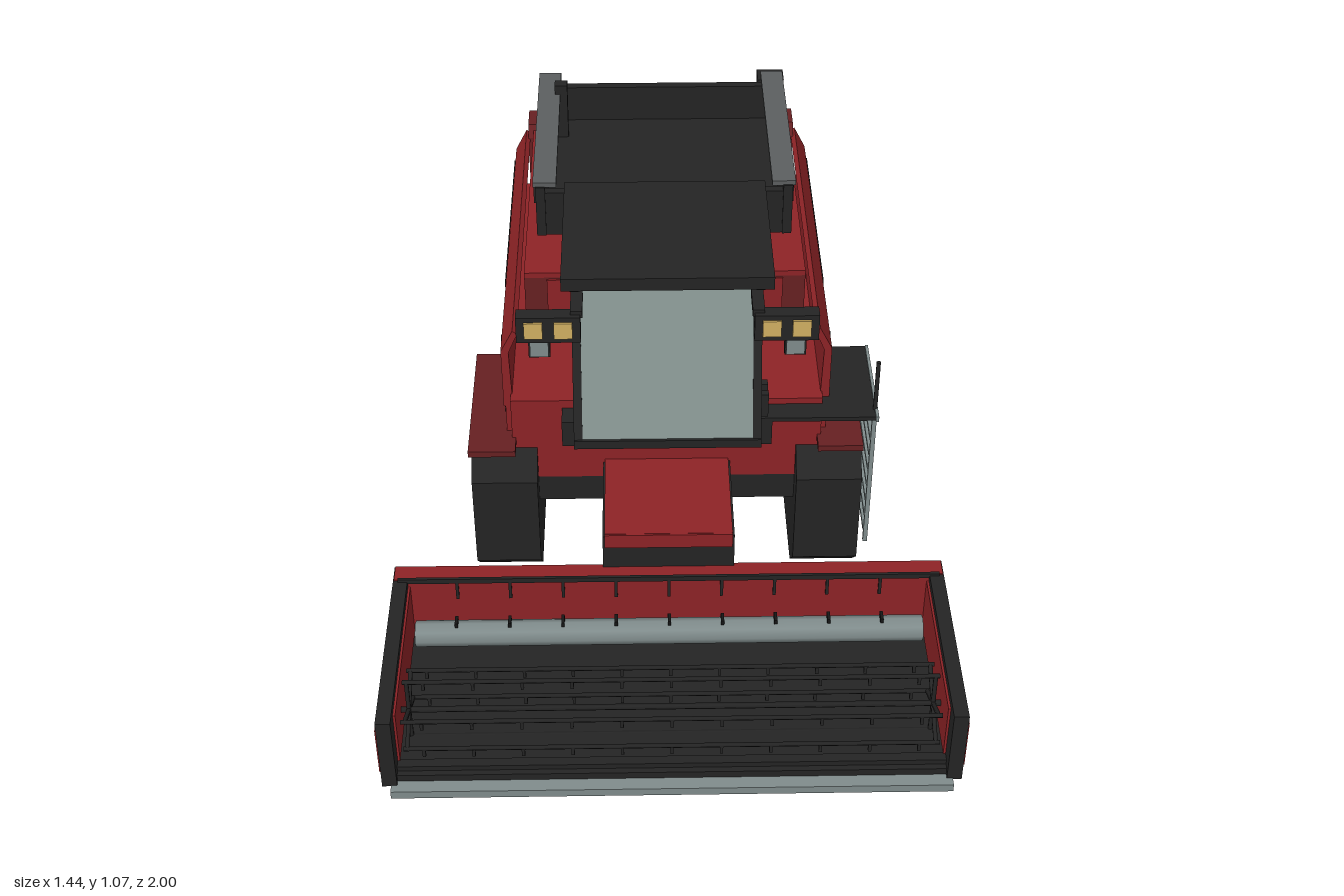
import * as THREE from 'three';

const mat = (name, color) => Object.assign(new THREE.MeshStandardMaterial({ color }), { name });

export function createModel() {
  const root = new THREE.Group();
  root.name = 'combineHarvester';
  const red = mat('red paint', 0x8e2326);
  const darkRed = mat('dark red paint', 0x672022);
  const black = mat('black', 0x242424);
  const line = mat('seam black', 0x151515);
  const glass = mat('glass', 0x84928f);
  const metal = mat('light metal', 0x808c8c);
  const grey = mat('grey rim', 0x5c5f60);
  const lamp = mat('lamp yellow', 0xd2b062);

  let group = root;
  const part = (name) => {
    group = new THREE.Group();
    group.name = name;
    root.add(group);
  };
  const add = (name, geo, m) => {
    const mesh = new THREE.Mesh(geo, m);
    mesh.name = name;
    group.add(mesh);
    return mesh;
  };
  // box given by its limits on each axis
  const box = (name, m, x0, x1, y0, y1, z0, z1) => {
    const g = new THREE.BoxGeometry(x1 - x0, y1 - y0, z1 - z0);
    g.translate((x0 + x1) / 2, (y0 + y1) / 2, (z0 + z1) / 2);
    return add(name, g, m);
  };
  const pair = (name, m, x0, x1, ...r) => {
    box(name + 'Left', m, x0, x1, ...r);
    box(name + 'Right', m, -x1, -x0, ...r);
  };
  // side profile of [z, y] points, swept across x
  const sweepX = (name, m, pts, x0, x1) => {
    const s = new THREE.Shape(pts.map((p) => new THREE.Vector2(...p)));
    const g = new THREE.ExtrudeGeometry(s, { depth: x1 - x0, bevelEnabled: false });
    g.rotateY(-Math.PI / 2).translate(x1, 0, 0);
    return add(name, g, m);
  };
  const rod = (name, m, a, b, r = 0.006, sides = 6) => {
    const p = new THREE.Vector3(...a), q = new THREE.Vector3(...b);
    const d = q.clone().sub(p);
    const mesh = add(name, new THREE.CylinderGeometry(r, r, d.length(), sides), m);
    mesh.position.copy(p).add(q).multiplyScalar(0.5);
    mesh.quaternion.setFromUnitVectors(new THREE.Vector3(0, 1, 0), d.normalize());
  };

  // chassis and lower body
  part('body');
  box('chassis', black, -0.4, 0.4, 0.225, 0.33, -0.95, 0.1);
  box('lowerBody', red, -0.41, 0.41, 0.32, 0.58, -0.93, 0.14);
  box('upperBody', darkRed, -0.375, 0.375, 0.57, 0.785, -0.92, -0.13);
  box('upperBodyTop', red, -0.375, 0.375, 0.785, 0.80, -0.9, -0.13);
  pair('upperFrontPanel', red, 0.24, 0.315, 0.66, 0.78, -0.131, -0.125);
  box('engineDeck', red, -0.36, 0.36, 0.8, 0.835, -0.92, -0.5);
  for (const s of [1, -1]) {
    // side panel with inward-leaning top edge
    const pts = [[0.405, 0.54], [0.43, 0.54], [0.43, 0.72], [0.397, 0.785], [0.385, 0.775], [0.41, 0.715]];
    const shape = new THREE.Shape(pts.map(([x, y]) => new THREE.Vector2(s * x, y)));
    const g = new THREE.ExtrudeGeometry(shape, { depth: 1.01, bevelEnabled: false });
    g.translate(0, 0, -0.9);
    add('sidePanel', g, red);
  }
  pair('lowerSide', red, 0.405, 0.425, 0.325, 0.55, -0.93, 0.11);
  pair('sideStripe', black, 0.425, 0.431, 0.378, 0.396, -0.88, -0.11);
  for (const z of [0.03, -0.21, -0.54, -0.82]) pair('panelSeam', line, 0.43, 0.433, 0.45, 0.715, z - 0.003, z);
  pair('panelSeamTop', line, 0.43, 0.433, 0.712, 0.716, -0.84, -0.21);
  for (const z of [-0.04, -0.57]) pair('doorHandle', line, 0.43, 0.438, 0.495, 0.508, z - 0.03, z + 0.03);

  // rear hood
  part('rear');
  box('rearLowerPanel', black, -0.41, 0.41, 0.225, 0.49, -0.95, -0.9);
  sweepX('rearHood', darkRed, [[-0.86, 0.48], [-0.97, 0.48], [-0.98, 0.8], [-0.96, 0.815], [-0.88, 0.815], [-0.86, 0.78]], -0.39, 0.39);
  box('rearHoodTop', red, -0.36, 0.36, 0.8, 0.85, -0.92, -0.86);
  box('rearBand', darkRed, -0.375, 0.375, 0.735, 0.775, -0.995, -0.975);
  for (const x of [-0.25, 0, 0.25]) box('hoodCatch', red, x - 0.02, x + 0.02, 0.47, 0.49, -0.98, -0.965);
  rod('rearRod', black, [0.36, 0.3, -0.985], [0.36, 0.5, -0.975]);
  box('rearLamp', black, 0.345, 0.375, 0.3, 0.335, -0.995, -0.97);

  // open grain tank
  part('grainTank');
  box('tankBase', black, -0.34, 0.34, 0.83, 0.865, -0.88, -0.44);
  box('tankFloor', black, -0.33, 0.33, 0.86, 0.885, -0.8, -0.23);
  pair('tankSide', black, 0.315, 0.34, 0.86, 1.01, -0.81, -0.22);
  box('tankFront', black, -0.32, 0.32, 0.86, 0.99, -0.25, -0.225);
  box('tankBack', black, -0.32, 0.32, 0.86, 0.99, -0.81, -0.785);
  pair('tankRim', grey, 0.285, 0.347, 1.008, 1.022, -0.815, -0.225);
  pair('tankPanel', red, 0.34, 0.348, 0.91, 0.965, -0.84, -0.38);
  pair('tankPanelEnd', black, 0.34, 0.35, 0.905, 0.97, -0.38, -0.31);
  box('tankCornerPost', grey, -0.315, -0.285, 0.88, 1.01, -0.785, -0.755);
  box('unloaderBox', black, 0.28, 0.355, 0.89, 0.98, -0.9, -0.84);
  box('exhaust', black, -0.3, -0.265, 0.88, 1.05, -0.72, -0.69);

  // cab
  part('cab');
  box('cabBase', black, -0.275, 0.275, 0.475, 0.555, -0.11, 0.2);
  for (const x of [-0.2, 0, 0.2]) box('baseStripe', metal, x - 0.011, x + 0.011, 0.478, 0.553, 0.199, 0.205);
  box('cabFloor', black, -0.24, 0.24, 0.555, 0.58, -0.11, 0.31);
  box('cabGlass', glass, -0.22, 0.22, 0.58, 1.02, -0.105, 0.12);
  sweepX('windscreen', glass, [[0.295, 0.58], [0.302, 0.58], [0.125, 1.035], [0.118, 1.035]], -0.22, 0.22);
  for (const x of [-0.24, 0.218]) {
    sweepX('frontPillar', black, [[0.294, 0.57], [0.308, 0.57], [0.128, 1.04], [0.114, 1.04]], x, x + 0.022);
    box('rearPillar', black, x, x + 0.022, 0.57, 1.04, -0.112, -0.1);
    box('roofRail', black, x, x + 0.022, 1.005, 1.013, -0.1, 0.25);
  }
  box('cabRoof', black, -0.26, 0.26, 1.035, 1.07, -0.15, 0.29);

  // work lights and mirrors
  part('lights');
  pair('lightBar', black, 0.215, 0.375, 0.875, 0.95, 0.245, 0.283);
  for (const x of [0.258, 0.332]) pair('lamp', lamp, x - 0.023, x + 0.023, 0.89, 0.937, 0.282, 0.289);
  pair('mirror', black, 0.293, 0.347, 0.815, 0.875, 0.24, 0.262);
  pair('mirrorFace', metal, 0.297, 0.343, 0.82, 0.87, 0.262, 0.267);
  pair('lightArm', black, 0.21, 0.24, 0.94, 0.96, 0.18, 0.27);

  // wheels: chamfered square tyres with plate hubs
  part('wheels');
  const wheel = (name, z, r, x0, x1, hub) => {
    const c = r * 0.64;
    const pts = [[c, -r], [r, -c], [r, c], [c, r], [-c, r], [-r, c], [-r, -c], [-c, -r]].map(([a, b]) => [z + a, r + b]);
    for (const s of [1, -1]) {
      const lo = s > 0 ? x0 : -x1, hi = s > 0 ? x1 : -x0;
      sweepX(name + 'Tyre', black, pts, lo, hi);
      const square = (label, m, h, a, b) =>
        box(name + label, m, Math.min(s * a, s * b), Math.max(s * a, s * b), r - h, r + h, z - h, z + h);
      square('Hub', metal, hub, x1, x1 + 0.006);
      square('Cap', black, hub * 0.38, x1 + 0.006, x1 + 0.014);
      for (const t of [-0.72, 0.72]) {
        const a = s * (x1 + 0.008);
        box(name + 'Bolt', black, a - 0.003, a + 0.003, r + t * hub - 0.007, r + t * hub + 0.007, z - 0.007, z + 0.007);
      }
    }
    box(name + 'Axle', black, -x0 - 0.01, x0 + 0.01, r - 0.04, r + 0.04, z - 0.05, z + 0.05);
  };
  wheel('front', -0.01, 0.217, 0.345, 0.52, 0.098);
  wheel('rear', -0.68, 0.136, 0.33, 0.435, 0.062);
  box('frontFenderRight', darkRed, -0.525, -0.4, 0.44, 0.458, -0.23, 0.2);
  box('frontFenderLeft', darkRed, 0.4, 0.52, 0.44, 0.458, -0.1, 0.19);
  pair('rearFender', red, 0.32, 0.452, 0.28, 0.295, -0.82, -0.545);

  // platform, ladder and handrails
  part('ladder');
  box('platform', black, 0.23, 0.55, 0.55, 0.562, -0.11, 0.2);
  box('platformEdge', metal, 0.545, 0.553, 0.55, 0.566, -0.11, 0.205);
  for (const z of [0.165, -0.055]) box('ladderRail', metal, 0.54, 0.552, 0.1, 0.555, z - 0.005, z + 0.005);
  for (let i = 0; i < 7; i++) {
    const y = 0.145 + i * 0.053;
    box('rung', metal, 0.538, 0.552, y - 0.006, y + 0.006, -0.055, 0.165);
  }
  rod('handrailPost', black, [0.546, 0.55, 0.165], [0.546, 0.715, 0.165]);
  for (const z of [0.185, 0.23]) box('cabStep', black, 0.23, 0.26, 0.6, 0.67, z - 0.01, z + 0.01);

  // feeder house joining header and body
  part('feeder');
  sweepX('feederHouse', black, [[0.1, 0.22], [0.44, 0.22], [0.44, 0.37], [0.1, 0.37]], -0.17, 0.17);
  box('feederTop', red, -0.165, 0.165, 0.37, 0.379, 0.14, 0.44);
  box('feederFront', red, -0.165, 0.165, 0.335, 0.378, 0.439, 0.445);
  pair('frontFrame', black, 0.17, 0.39, 0.24, 0.32, 0.05, 0.14);

  // cutting header
  part('header');
  box('headerBack', red, -0.71, 0.71, 0.05, 0.265, 0.43, 0.48);
  box('headerBackTrim', black, -0.7, 0.7, 0.255, 0.27, 0.478, 0.486);
  box('headerFloor', black, -0.7, 0.7, 0.042, 0.065, 0.43, 0.965);
  box('headerLip', black, -0.69, 0.69, 0.045, 0.08, 0.925, 0.95);
  pair('endPlate', black, 0.675, 0.712, 0.042, 0.262, 0.43, 0.978);
  pair('endPanel', red, 0.712, 0.717, 0.08, 0.225, 0.46, 0.965);
  pair('innerEndPanel', red, 0.669, 0.675, 0.08, 0.24, 0.48, 0.93);
  pair('endBadgePlate', metal, 0.717, 0.721, 0.138, 0.19, 0.805, 0.862);
  box('cutterBar', metal, -0.69, 0.69, 0.022, 0.045, 0.955, 1.0);
  rod('auger', metal, [-0.655, 0.147, 0.557], [0.655, 0.147, 0.557], 0.034, 8);
  for (let i = 0; i < 9; i++) {
    const x = (i - 4) * 0.137;
    box('augerFinger', line, x - 0.004, x + 0.004, 0.178, 0.192, 0.54, 0.57);
    box('backRib', black, x - 0.004, x + 0.004, 0.2, 0.262, 0.48, 0.485);
  }

  // reel with tined bars
  part('reel');
  const cy = 0.155, cz = 0.83, bars = 6;
  rod('reelShaft', black, [-0.675, cy, cz], [0.675, cy, cz], 0.008);
  for (let i = 0; i < bars; i++) {
    const a = (i / bars) * Math.PI * 2 + Math.PI / 6;
    const y = cy + 0.1 * Math.sin(a) * 0.95, z = cz + 0.1 * Math.cos(a);
    rod('reelBar', black, [-0.66, y, z], [0.66, y, z], 0.006);
    for (const x of [-0.65, 0.65]) rod('reelSpoke', black, [x, cy, cz], [x, y, z], 0.006);
    for (let k = 0; k < 11; k++) {
      const x = (k - 5) * 0.122;
      box('tine', black, x - 0.004, x + 0.004, y - 0.026, y, z - 0.004, z + 0.004);
    }
  }
  return root;
}
